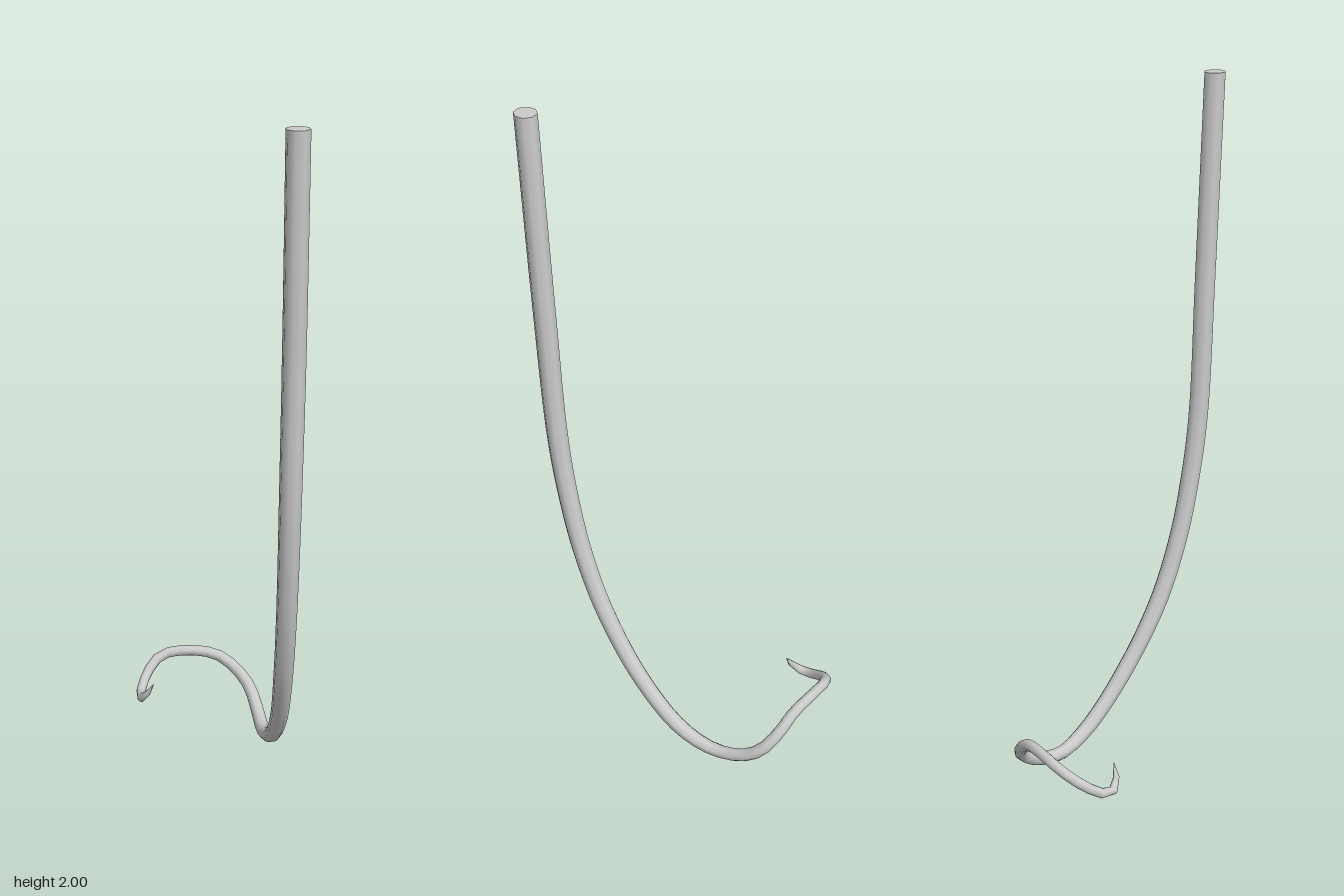
import * as THREE from 'three';

const SIDES = 8, RINGS = 72;

// Centre line with radius: x, y, z, r
const PATH = [
  [0.28, 2, 0.342, 0.032], [0.273, 1.4, 0.318, 0.032], [0.265, 1, 0.3, 0.031],
  [0.257, 0.8, 0.274, 0.03], [0.244, 0.6, 0.23, 0.029], [0.222, 0.4, 0.155, 0.028],
  [0.185, 0.2, 0.03, 0.026], [0.136, 0.065, -0.1, 0.024], [0.088, 0.022, -0.2, 0.021],
  [0.045, 0.046, -0.295, 0.02], [0.01, 0.09, -0.343, 0.019], [-0.04, 0.14, -0.358, 0.018],
  [-0.1, 0.182, -0.352, 0.017], [-0.2, 0.193, -0.332, 0.016], [-0.265, 0.18, -0.306, 0.016],
  [-0.294, 0.146, -0.26, 0.016], [-0.301, 0.108, -0.2, 0.015], [-0.293, 0.1, -0.167, 0.014],
  [-0.273, 0.118, -0.147, 0.011], [-0.255, 0.146, -0.143, 0.007], [-0.244, 0.164, -0.144, 0.001],
];

export function createModel() {
  const group = new THREE.Group();
  const material = new THREE.MeshStandardMaterial({ color: 0xcccccc });
  const curve = new THREE.CatmullRomCurve3(PATH.map(([x, y, z]) => new THREE.Vector3(x, y, z)));

  // Radius at arc-length fraction u
  const radiusAt = (u) => {
    const s = curve.getUtoTmapping(u) * (PATH.length - 1);
    const i = Math.min(Math.floor(s), PATH.length - 2);
    return THREE.MathUtils.lerp(PATH[i][3], PATH[i + 1][3], s - i);
  };

  // Tapering curled stem: unit tube with each ring scaled about the centre line
  const tube = new THREE.TubeGeometry(curve, RINGS, 1, SIDES);
  const pos = tube.attributes.position;
  const v = new THREE.Vector3();
  for (let ring = 0; ring <= RINGS; ring++) {
    const centre = curve.getPointAt(ring / RINGS);
    const r = radiusAt(ring / RINGS);
    for (let k = 0; k <= SIDES; k++) {
      const i = ring * (SIDES + 1) + k;
      v.fromBufferAttribute(pos, i).sub(centre).multiplyScalar(r).add(centre);
      if (ring === 0) v.y = 2; // level cut at the top
      pos.setXYZ(i, v.x, v.y, v.z);
    }
  }
  const stem = new THREE.Mesh(tube, material);
  stem.name = 'curledStem';
  group.add(stem);

  // Flat end cap, turned to line up with the first ring
  const [x, y, z, r] = PATH[0];
  const capGeometry = new THREE.CircleGeometry(r, SIDES);
  capGeometry.rotateX(-Math.PI / 2);
  capGeometry.rotateY(Math.atan2(z - pos.getZ(0), pos.getX(0) - x));
  const cap = new THREE.Mesh(capGeometry, material);
  cap.name = 'topCap';
  cap.position.set(x, y, z);
  group.add(cap);

  return group;
}
